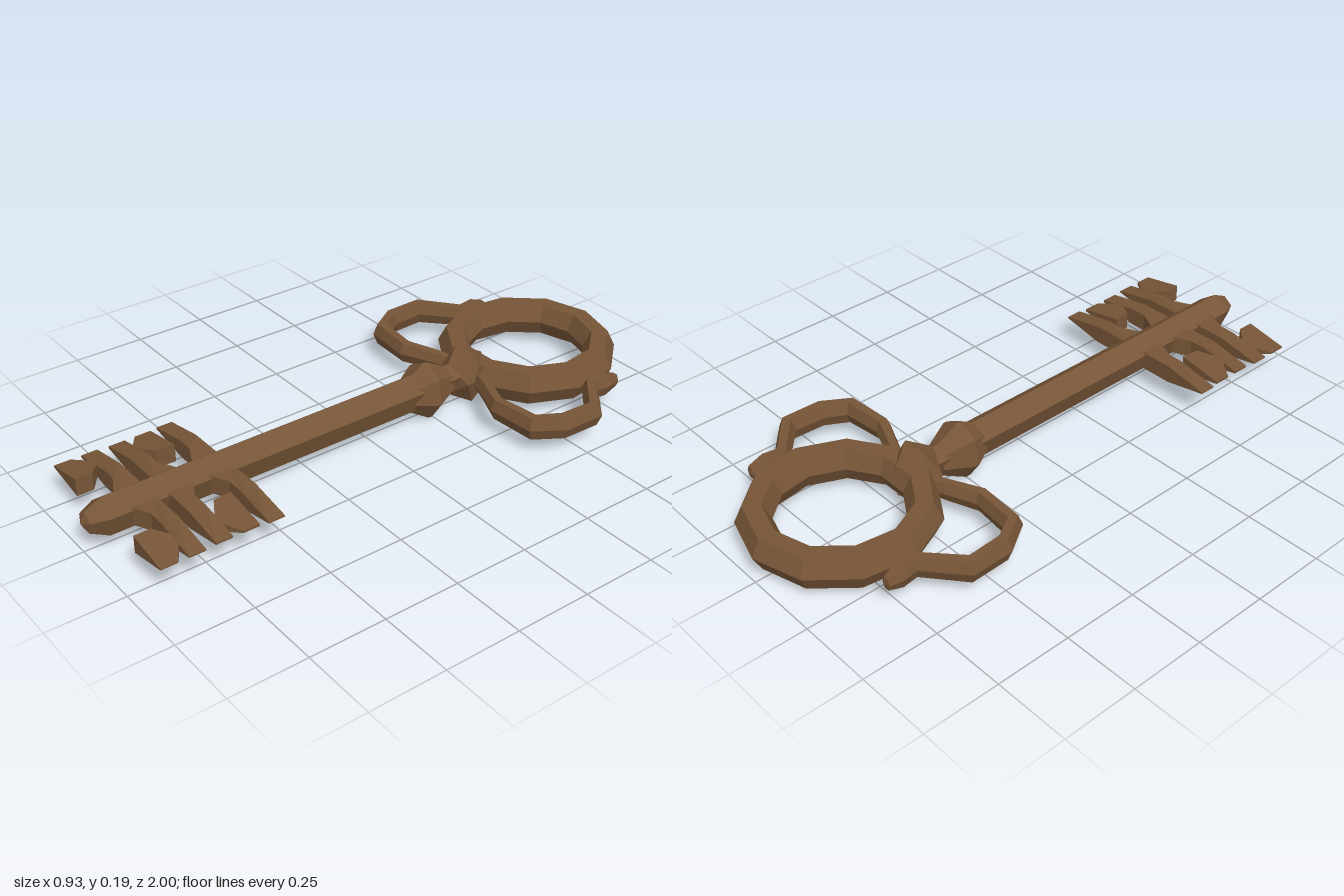
import * as THREE from 'three';

const AXIS_Y = 0.105;

export function createModel() {
  const key = new THREE.Group();
  key.name = 'key';
  const bronze = new THREE.MeshStandardMaterial({ color: 0x765537, flatShading: true });
  bronze.name = 'aged bronze';

  const add = (name, geometry, y = AXIS_Y, z = 0) => {
    const mesh = new THREE.Mesh(geometry, bronze);
    mesh.name = name;
    mesh.position.set(0, y, z);
    key.add(mesh);
    return mesh;
  };

  // Turned part along z, from [radius, z] pairs, with one corner upward
  const turned = (profile, sides) =>
    new THREE.LatheGeometry(profile.map(([r, z]) => new THREE.Vector2(r, z)), sides, Math.PI)
      .rotateX(Math.PI / 2);

  // Faceted bar swept through [x, z, scale] points, closed where scale is 0
  const sweep = (points, width, height, sides) => {
    const positions = [], indices = [];
    points.forEach(([x, z, s], i) => {
      const a = points[Math.max(i - 1, 0)], b = points[Math.min(i + 1, points.length - 1)];
      const t = new THREE.Vector2(b[0] - a[0], b[1] - a[1]).normalize();
      for (let j = 0; j < sides; j++) {
        const angle = (j / sides) * Math.PI * 2;
        const side = Math.cos(angle) * width * s;
        positions.push(x + t.y * side, Math.sin(angle) * height * s, z - t.x * side);
        if (i < points.length - 1) {
          const p = i * sides + j, q = i * sides + (j + 1) % sides;
          indices.push(p, q, p + sides, q, q + sides, p + sides);
        }
      }
    });
    const g = new THREE.BufferGeometry();
    g.setAttribute('position', new THREE.Float32BufferAttribute(positions, 3));
    g.setIndex(indices);
    g.computeVertexNormals();
    return g;
  };

  // Flat plate from [x, z] corners that thins out toward its outer end
  const tooth = (corners) => {
    const shape = new THREE.Shape(corners.map(([x, z]) => new THREE.Vector2(x, z)));
    const g = new THREE.ExtrudeGeometry(shape, { depth: 2, bevelEnabled: false });
    g.translate(0, 0, -1).rotateX(Math.PI / 2);
    const p = g.attributes.position;
    for (let i = 0; i < p.count; i++) {
      const x = Math.abs(p.getX(i));
      const half = 0.03 * THREE.MathUtils.clamp((0.325 - x) / 0.16, 0, 1);
      p.setY(i, Math.sign(p.getY(i)) * half);
    }
    g.computeVertexNormals();
    return g;
  };

  // Bow ring
  const ring = new THREE.TorusGeometry(0.25, 0.055, 6, 11);
  ring.rotateZ(Math.PI / 2).rotateX(-Math.PI / 2).scale(1, 1.15, 1);
  add('bowRing', ring, 0.1, -0.695);

  // Shaft with pointed tip
  add('shaft', turned([[0, -0.46], [0.05, -0.45], [0.05, -0.32], [0.062, -0.2],
    [0.062, 0.93], [0.035, 0.985], [0, 1]], 5), 0.108);

  // Collar and the knob joining shaft to bow
  add('collar', turned([[0.05, -0.34], [0.098, -0.25], [0.098, -0.235], [0.058, -0.17]], 7)
    .scale(0.87, 1, 1), 0.099);
  add('knob', new THREE.IcosahedronGeometry(0.1, 0).scale(0.85, 1.05, 0.85), 0.101, -0.415);

  const loopPath = [[0.03, -0.43, 0], [0.05, -0.43, 0.8], [0.13, -0.4, 0.9], [0.235, -0.355, 1],
    [0.385, -0.368, 1.1], [0.435, -0.45, 1.1], [0.44, -0.575, 1.1], [0.325, -0.675, 1],
    [0.325, -0.735, 1.1], [0.33, -0.785, 0.6], [0.325, -0.79, 0]];

  const bitShapes = {
    rearBar: [[0, 0.52], [0.165, 0.52], [0.312, 0.52], [0.312, 0.575], [0.165, 0.575],
      [0.11, 0.575], [0.05, 0.605], [0, 0.605]],
    middleBar: [[0, 0.655], [0.05, 0.66], [0.11, 0.69], [0.165, 0.69], [0.305, 0.69],
      [0.305, 0.745], [0.165, 0.745], [0, 0.745]],
    middleTooth: [[0.155, 0.6], [0.305, 0.6], [0.305, 0.655], [0.25, 0.692],
      [0.215, 0.692], [0.16, 0.66]],
    frontBar: [[0, 0.78], [0.165, 0.78], [0.312, 0.78], [0.312, 0.835], [0.165, 0.835],
      [0.11, 0.835], [0.05, 0.865], [0, 0.865]],
    frontTooth: [[0.17, 0.925], [0.17, 0.87], [0.215, 0.833], [0.255, 0.833],
      [0.312, 0.87], [0.312, 0.925]],
  };

  // Mirrored side loops and bit teeth
  for (const [label, sx] of [['left', 1], ['right', -1]]) {
    add(label + 'SideLoop', sweep(loopPath.map(([x, z, s]) => [x * sx, z, s]), 0.027, 0.04, 6), 0.098);
    for (const [part, corners] of Object.entries(bitShapes)) {
      const name = label + part[0].toUpperCase() + part.slice(1);
      add(name, tooth(corners.map(([x, z]) => [x * sx, z])));
    }
  }
  return key;
}
